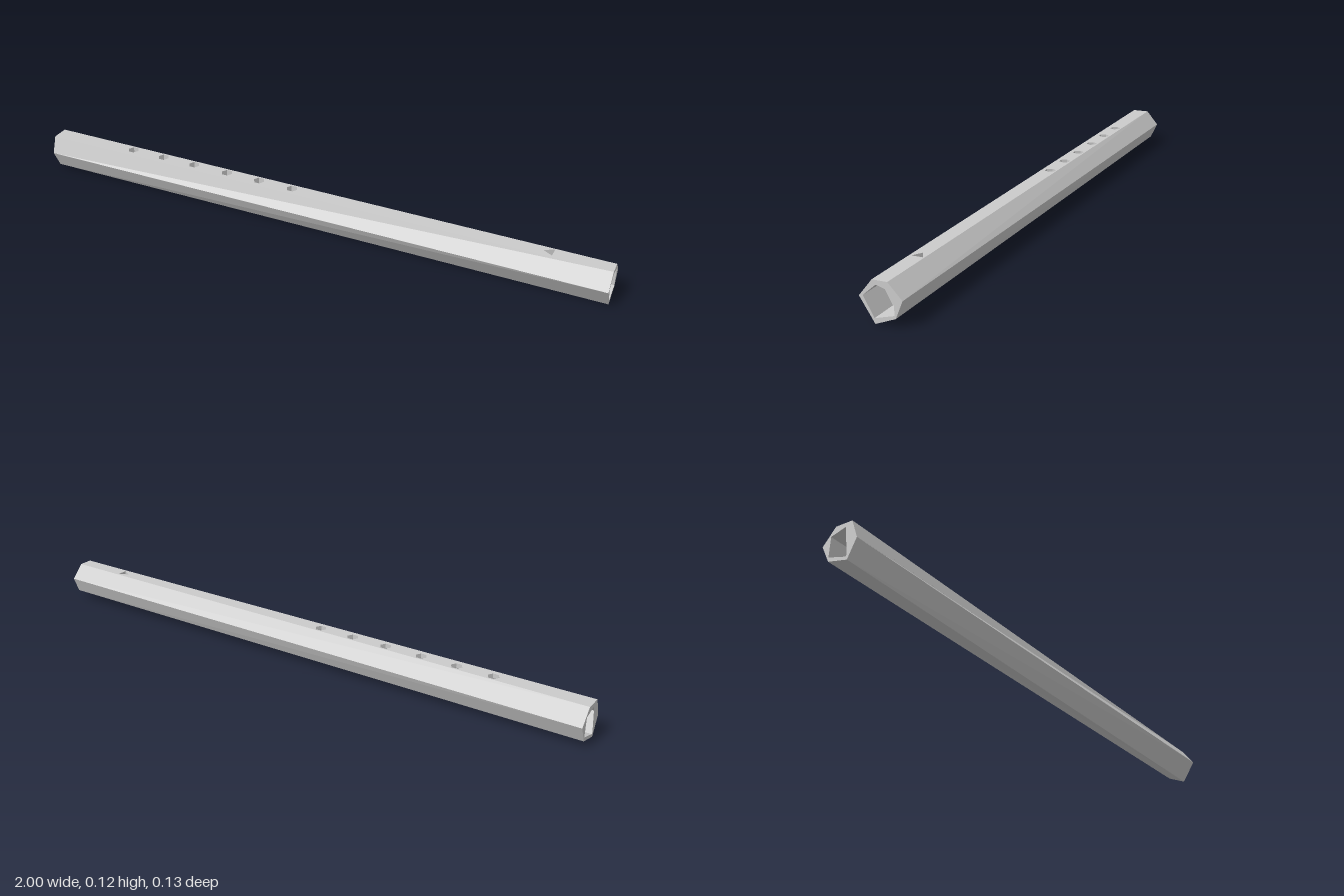
import * as THREE from 'three';

// Cross-sections as [z, y] corners, running from front to back over the top
const outerLeft = [[0.024, 0.125], [-0.022, 0.125], [-0.065, 0.08], [-0.043, 0.027], [0.019, 0.002], [0.065, 0.074]];
const outerRight = [[0.035, 0.125], [-0.022, 0.125], [-0.065, 0.075], [-0.04, 0.022], [0.027, 0.007], [0.056, 0.067]];
const bore = [[0.013, 0.112], [-0.037, 0.098], [-0.04, 0.035], [0.021, 0.018], [0.053, 0.077]];
const TOP = 0.125;

// Finger holes and the mouth hole: x, radius, sides
const holes = [-0.69, -0.567, -0.444, -0.316, -0.193, -0.07].map((x) => [x, 0.019, 6]);
holes.push([0.802, 0.021, 3]);

const material = new THREE.MeshStandardMaterial({ color: 0xcccccc, flatShading: true });
const insideMaterial = new THREE.MeshStandardMaterial({ color: 0xcccccc, flatShading: true, side: THREE.BackSide });

// Flat faces joining two sections; the first face can be left open
function sideFaces(a, xa, b, xb, first = 0) {
  const pos = [];
  for (let i = first; i < a.length; i++) {
    const j = (i + 1) % a.length;
    const A = [xa, a[i][1], a[i][0]], B = [xb, b[i][1], b[i][0]];
    const C = [xb, b[j][1], b[j][0]], D = [xa, a[j][1], a[j][0]];
    pos.push(...A, ...B, ...C, ...A, ...C, ...D);
  }
  const g = new THREE.BufferGeometry();
  g.setAttribute('position', new THREE.Float32BufferAttribute(pos, 3));
  g.computeVertexNormals();
  return g;
}

const points = (section, sign) => section.map(([z, y]) => new THREE.Vector2(sign * z, y));

// Corners of a hole in plan; the mouth hole points toward the finger holes
function holeCorners([x, r, n]) {
  return Array.from({ length: n }, (_, i) => {
    const t = Math.PI + (i / n) * Math.PI * 2;
    return [x + r * Math.cos(t), r * Math.sin(t)];
  });
}

export function createModel() {
  const group = new THREE.Group();
  const add = (name, geometry, mat = material) => {
    const mesh = new THREE.Mesh(geometry, mat);
    mesh.name = name;
    group.add(mesh);
    return mesh;
  };

  // Six-sided, slightly twisted body without its top face
  add('body', sideFaces(outerRight, -1, outerLeft, 1, 1));

  // Top face pierced by the holes
  const top = new THREE.Shape([
    new THREE.Vector2(-1, -outerRight[0][0]), new THREE.Vector2(1, -outerLeft[0][0]),
    new THREE.Vector2(1, -outerLeft[1][0]), new THREE.Vector2(-1, -outerRight[1][0]),
  ]);
  for (const hole of holes) {
    top.holes.push(new THREE.Path(holeCorners(hole).map(([x, z]) => new THREE.Vector2(x, -z))));
  }
  add('topFace', new THREE.ShapeGeometry(top).rotateX(-Math.PI / 2).translate(0, TOP, 0));

  // Short walls leading from each hole down into the bore
  holes.forEach((hole, h) => {
    const c = holeCorners(hole);
    const pos = [];
    c.forEach(([x, z], i) => {
      const [u, w] = c[(i + 1) % c.length];
      const low = 0.103;
      pos.push(x, TOP, z, u, TOP, w, u, low, w, x, TOP, z, u, low, w, x, low, z);
    });
    const g = new THREE.BufferGeometry();
    g.setAttribute('position', new THREE.Float32BufferAttribute(pos, 3));
    g.computeVertexNormals();
    add(h < 6 ? 'fingerHole' + (h + 1) : 'mouthHole', g,
      new THREE.MeshStandardMaterial({ color: 0xcccccc, flatShading: true, side: THREE.DoubleSide }));
  });

  // Five-sided bore, seen from inside
  add('bore', sideFaces(bore, -1, bore, 1), insideMaterial);

  // Rims closing the wall at both ends
  for (const [name, section, s] of [['leftRim', outerLeft, 1], ['rightRim', outerRight, -1]]) {
    const rim = new THREE.Shape(points(section, -s));
    rim.holes.push(new THREE.Path(points(bore, -s)));
    add(name, new THREE.ShapeGeometry(rim).rotateY(s * Math.PI / 2).translate(s, 0, 0));
  }

  // Stopper inside the bore beyond the mouth hole
  const plug = new THREE.ExtrudeGeometry(new THREE.Shape(points(bore, -1)), { depth: 0.04, bevelEnabled: false });
  add('stopper', plug.rotateY(Math.PI / 2).translate(0.87, 0, 0));

  return group;
}
